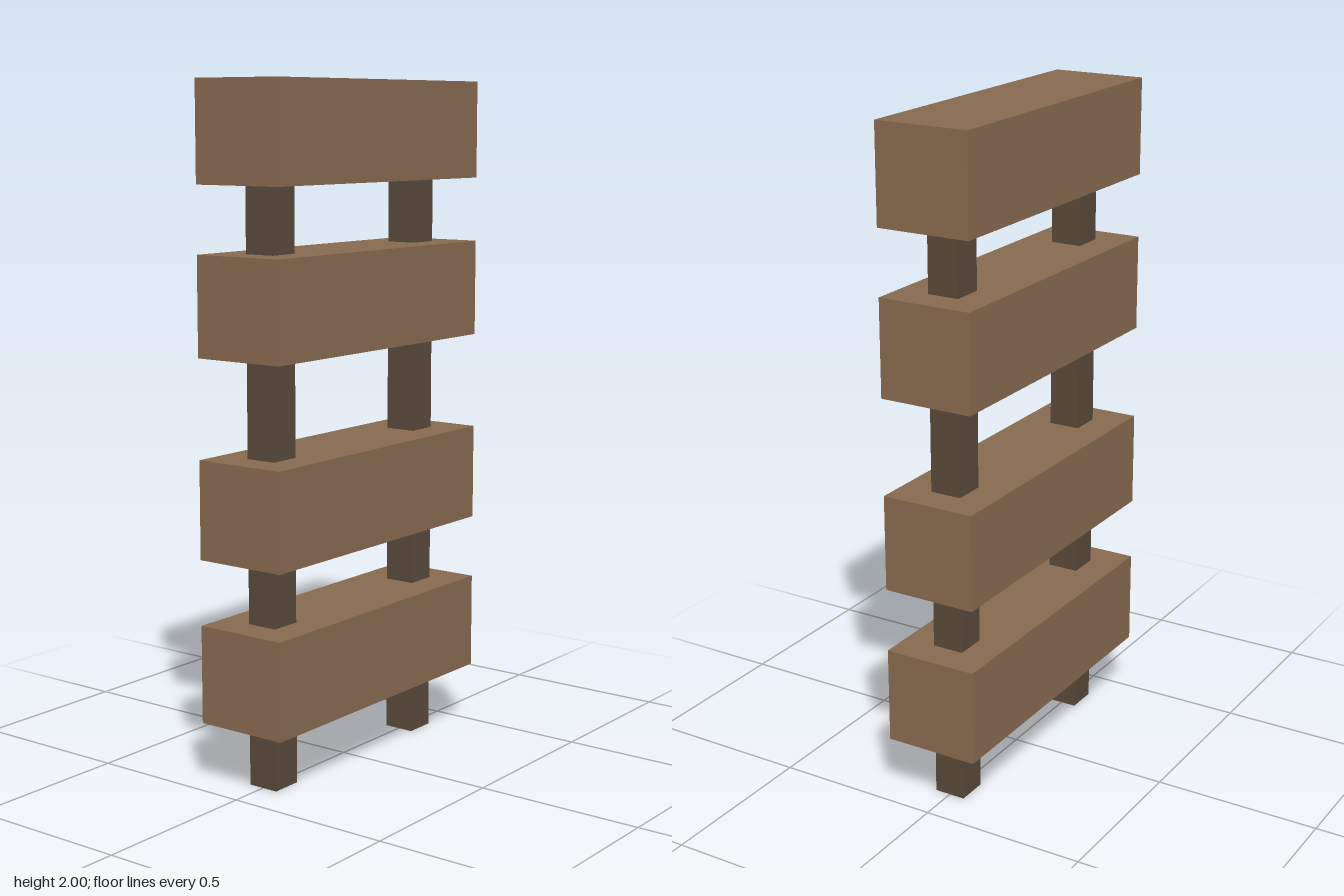
import * as THREE from 'three';

// Every dimension is a whole or half number of this unit (21 units tall)
const U = 2 / 21;

export function createModel() {
  const model = new THREE.Group();
  model.name = 'beamRack';

  const beamWood = new THREE.MeshStandardMaterial({ color: 0x876a50 });
  beamWood.name = 'beam brown';
  const postWood = new THREE.MeshStandardMaterial({ color: 0x59493a });
  postWood.name = 'post dark brown';

  // Box standing on the given base height, sizes in units
  function addBox(name, material, w, h, d, x, base) {
    const mesh = new THREE.Mesh(new THREE.BoxGeometry(w * U, h * U, d * U), material);
    mesh.position.set(x * U, (base + h / 2) * U, 0);
    mesh.name = name;
    model.add(mesh);
  }

  // Four thick horizontal beams, in two pairs
  [2, 7, 13, 18].forEach((base, i) => addBox(`beam${i + 1}`, beamWood, 10, 3, 3, 0, base));

  // Two square posts running up into the top beam
  addBox('leftPost', postWood, 1, 19, 1, 3.5, 0);
  addBox('rightPost', postWood, 1, 19, 1, -3.5, 0);

  return model;
}
